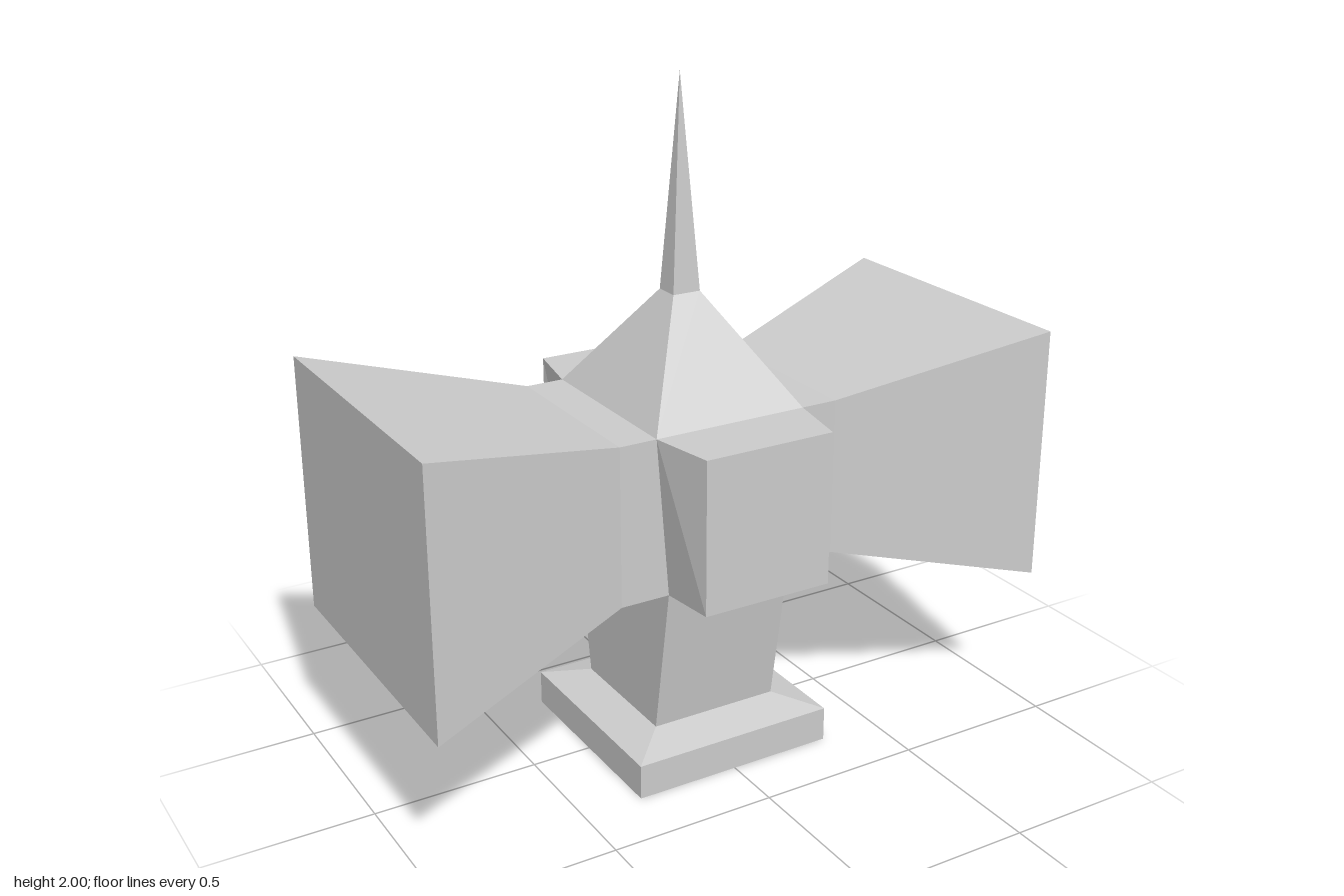
import * as THREE from 'three';

const material = new THREE.MeshStandardMaterial({ color: 0xcccccc, flatShading: true });

// Skins four-cornered rings (each counter-clockwise seen from the last ring).
function loft(name, rings, { capStart = false, capEnd = false } = {}) {
  const pos = [];
  const tri = (a, b, c) => {
    const same = (p, q) => p.every((v, i) => v === q[i]);
    if (!same(a, b) && !same(b, c) && !same(a, c)) pos.push(...a, ...b, ...c);
  };
  const quad = (a, b, c, d) => { tri(a, b, c); tri(a, c, d); };
  for (let r = 0; r < rings.length - 1; r++) {
    const lo = rings[r], hi = rings[r + 1];
    for (let i = 0; i < 4; i++) {
      const j = (i + 1) % 4;
      quad(lo[i], lo[j], hi[j], hi[i]);
    }
  }
  if (capStart) quad(...[...rings[0]].reverse());
  if (capEnd) quad(...rings[rings.length - 1]);
  const geometry = new THREE.BufferGeometry();
  geometry.setAttribute('position', new THREE.Float32BufferAttribute(pos, 3));
  geometry.computeVertexNormals();
  const mesh = new THREE.Mesh(geometry, material);
  mesh.name = name;
  return mesh;
}

// Horizontal rectangle at height y with half sizes hx, hz.
const level = ([y, hx, hz]) => [[hx, y, hz], [hx, y, -hz], [-hx, y, -hz], [-hx, y, hz]];

// Upright section of an arm; x may differ between bottom and top.
const armSection = ([xLo, xHi, yLo, yHi, hz]) =>
  [[xLo, yLo, hz], [xLo, yLo, -hz], [xHi, yHi, -hz], [xHi, yHi, hz]];

// Upright section of a bay; half width may differ between bottom and top.
const baySection = ([z, wLo, wHi, yLo, yHi]) =>
  [[-wLo, yLo, z], [wLo, yLo, z], [wHi, yHi, z], [-wHi, yHi, z]];

export function createModel() {
  const group = new THREE.Group();
  group.name = 'tower';

  // Stepped foot and the column that widens front to back
  group.add(loft('base', [[0, 0.317, 0.317], [0.105, 0.317, 0.317], [0.14, 0.2, 0.2]].map(level),
    { capStart: true }));
  group.add(loft('column', [[0.14, 0.2, 0.2], [0.6, 0.2, 0.277]].map(level)));

  // Pyramid roof running up into a needle
  group.add(loft('spire', [[1.075, 0.237, 0.277], [1.385, 0.043, 0.038], [2, 0, 0]].map(level)));

  // Flared side arms and front/back bays, each repeated by a half turn
  const arm = [[0.2, 0.237, 0.6, 1.075, 0.277], [0.35, 0.35, 0.6, 1.075, 0.277],
    [0.98, 0.98, 0.45, 1.225, 0.455]].map(armSection);
  const bay = [[0.277, 0.2, 0.237, 0.6, 1.075], [0.475, 0.2, 0.2, 0.62, 1.075]].map(baySection);
  for (const [armName, bayName, turn] of [['leftArm', 'frontBay', 0], ['rightArm', 'backBay', Math.PI]]) {
    for (const part of [loft(armName, arm, { capEnd: true }), loft(bayName, bay, { capEnd: true })]) {
      part.rotation.y = turn;
      group.add(part);
    }
  }
  return group;
}
